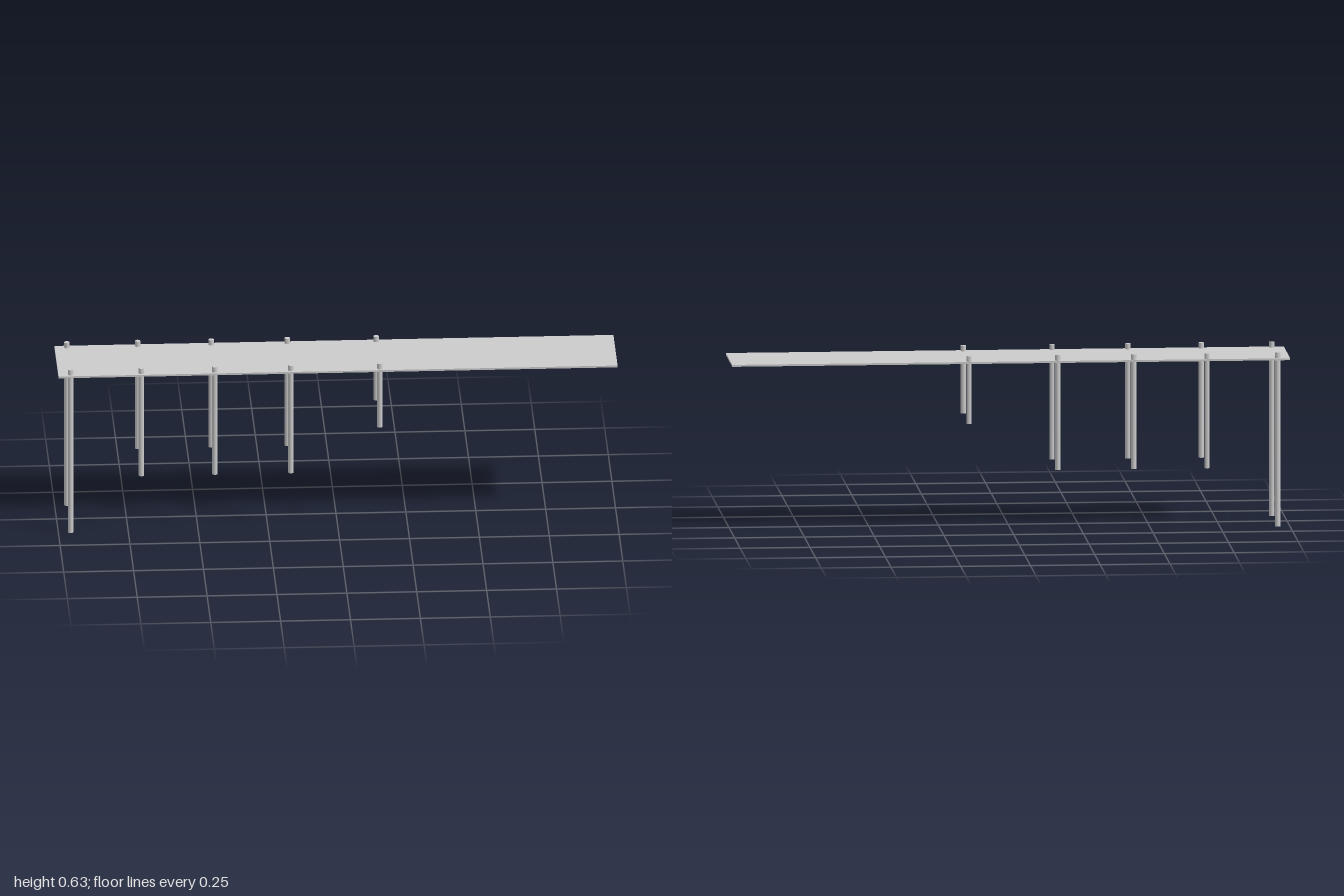
import * as THREE from 'three';

export function createModel() {
  const group = new THREE.Group();
  const material = new THREE.MeshStandardMaterial({ color: 0xcccccc });

  // Thin flat walkway
  const deck = new THREE.Mesh(new THREE.BoxGeometry(2, 0.007, 0.288), material);
  deck.name = 'deck';
  deck.position.y = 0.6055;
  group.add(deck);

  // Pairs of round posts, poking through the deck, cut to the ground below: [x, bottom]
  const top = 0.629;
  const rows = [[-0.956, 0], [-0.703, 0.214], [-0.44, 0.214], [-0.168, 0.214], [0.15, 0.384]];
  for (const [x, bottom] of rows) {
    for (const [side, z] of [['front', 0.1265], ['back', -0.1285]]) {
      const height = top - bottom;
      const post = new THREE.Mesh(new THREE.CylinderGeometry(0.0097, 0.0097, height, 32), material);
      post.name = side + 'Post';
      post.position.set(x, bottom + height / 2, z);
      group.add(post);
    }
  }
  return group;
}
